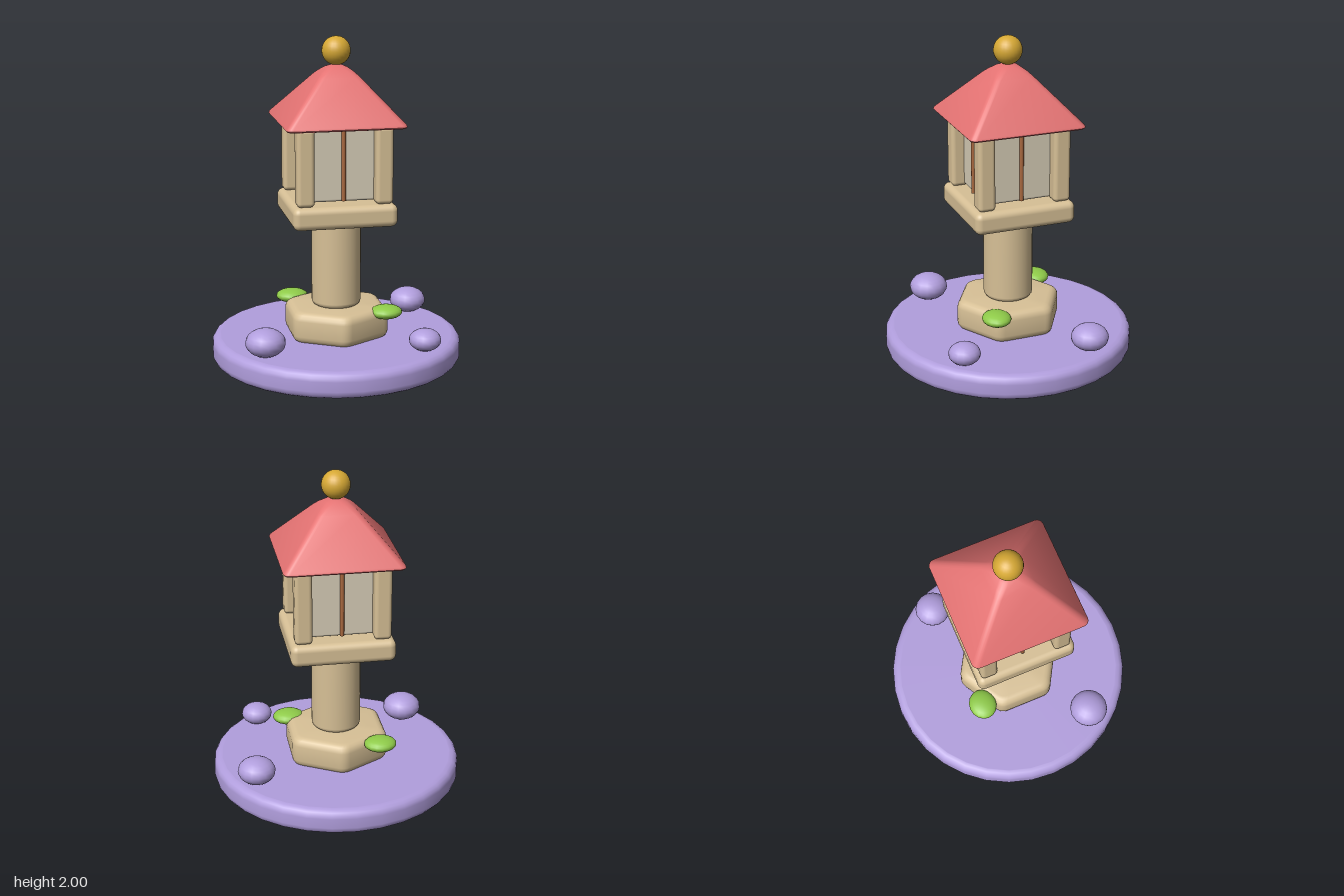
import * as THREE from 'three';
import { toCreasedNormals } from 'three/addons/utils/BufferGeometryUtils.js';
import { RoundedBoxGeometry } from 'three/addons/geometries/RoundedBoxGeometry.js';

const material = (name, color) => {
  const m = new THREE.MeshStandardMaterial({ color });
  m.name = name;
  return m;
};

// Horizontal polygon ring with rounded corners, n sides at distance apothem
function ring(n, apothem, radius, y, turn) {
  const r = Math.min(radius, apothem);
  const half = Math.PI / n, steps = 4, points = [];
  for (let k = 0; k < n; k++) {
    const corner = turn + k * 2 * half;
    const d = (apothem - r) / Math.cos(half);
    for (let i = 0; i <= steps; i++) {
      const a = corner + (i / steps * 2 - 1) * half;
      points.push([Math.sin(corner) * d + Math.sin(a) * r, y, Math.cos(corner) * d + Math.cos(a) * r]);
    }
  }
  return points;
}

// Closed solid through rings stacked from bottom to top
function loft(rings, crease = 0.6) {
  const n = rings[0].length, last = (rings.length - 1) * n;
  const positions = rings.flat(2), index = [];
  const bottom = rings.length * n, top = bottom + 1;
  positions.push(0, rings[0][0][1], 0, 0, rings[rings.length - 1][0][1], 0);
  for (let j = 0; j < n; j++) {
    const k = (j + 1) % n;
    for (let i = 0; i < last; i += n) {
      index.push(i + j, i + k, i + n + k, i + j, i + n + k, i + n + j);
    }
    index.push(bottom, k, j, top, last + j, last + k);
  }
  const geometry = new THREE.BufferGeometry();
  geometry.setAttribute('position', new THREE.Float32BufferAttribute(positions, 3));
  geometry.setIndex(index);
  return toCreasedNormals(geometry, crease);
}

// Half profile [radius, y] of a drum with rounded rims
function drumProfile(radius, y0, y1, bevel) {
  const profile = [], steps = 4;
  for (let i = 0; i <= steps; i++) {
    const a = i / steps * Math.PI / 2;
    profile.push([radius - bevel + Math.sin(a) * bevel, y0 + bevel - Math.cos(a) * bevel]);
  }
  const upper = profile.map(([r, y]) => [r, y0 + y1 - y]).reverse();
  return [...profile, ...upper];
}

function roundDrum(radius, y0, y1, bevel, segments) {
  const profile = drumProfile(radius, y0, y1, bevel);
  const inner = radius - bevel - 0.004;
  const points = [[0, y0], [inner, y0], ...profile, [inner, y1], [0, y1]];
  return new THREE.LatheGeometry(points.map(([r, y]) => new THREE.Vector2(r, y)), segments);
}

export function createModel() {
  const model = new THREE.Group();
  model.name = 'gardenLantern';

  const lavender = material('lavender ground', 0xb19edd);
  const stone = material('warm stone', 0xd7c096);
  const paper = material('pale paper', 0xd7cdb7);
  const wood = material('brown wood', 0xa8683f);
  const red = material('red roof', 0xe57373);
  const gold = material('gold', 0xd6a834);
  const green = material('moss green', 0x8fcb49);

  const add = (name, geometry, mat, x = 0, y = 0, z = 0) => {
    const mesh = new THREE.Mesh(geometry, mat);
    mesh.name = name;
    mesh.position.set(x, y, z);
    model.add(mesh);
    return mesh;
  };

  // Ground disc, hexagonal plinth and column
  add('groundDisc', roundDrum(0.77, 0, 0.16, 0.05, 32), lavender);
  const plinth = drumProfile(0.296, 0.15, 0.347, 0.05);
  add('plinth', loft(plinth.map(([r, y]) => ring(6, r, 0.07, y, 0))), stone);
  add('column', roundDrum(0.152, 0.345, 0.89, 0.03, 32), stone);

  // Platform and lantern box
  add('platform', new RoundedBoxGeometry(0.632, 0.137, 0.632, 4, 0.04), stone, 0, 0.958, 0);
  add('paperBox', new RoundedBoxGeometry(0.43, 0.45, 0.43, 3, 0.015), paper, 0, 1.265, 0);
  for (const sx of [-1, 1]) {
    for (const sz of [-1, 1]) {
      add('cornerPost', new RoundedBoxGeometry(0.106, 0.466, 0.106, 4, 0.025), stone, sx * 0.237, 1.26, sz * 0.237);
    }
  }
  for (let i = 0; i < 4; i++) {
    const a = i * Math.PI / 2;
    add('windowBar', new THREE.CylinderGeometry(0.013, 0.013, 0.445, 12), wood,
      Math.sin(a) * 0.222, 1.268, Math.cos(a) * 0.222);
  }

  // Pyramid roof with softened eaves and tip: [half width, y, corner radius]
  const roof = [
    [0.335, 1.484, 0.03], [0.352, 1.488, 0.035], [0.36, 1.497, 0.04], [0.355, 1.509, 0.035],
    [0.125, 1.765, 0.035], [0.1, 1.79, 0.04], [0.065, 1.816, 0.04], [0.03, 1.83, 0.03], [0.004, 1.833, 0.004],
  ];
  add('roof', loft(roof.map(([w, y, r]) => ring(4, w, r, y, Math.PI / 4))), red);
  add('finialBall', new THREE.SphereGeometry(0.087, 24, 16), gold, 0, 1.913, 0);

  // Boulders on the disc: [x, y, z, radius, half height]
  const boulders = [
    [-0.5, 0.242, 0.36, 0.121, 0.085],
    [0.54, 0.235, -0.32, 0.115, 0.08],
    [0.45, 0.224, 0.45, 0.097, 0.067],
  ];
  for (const [x, y, z, r, h] of boulders) {
    add('boulder', new THREE.SphereGeometry(1, 16, 12), lavender, x, y, z).scale.set(r, h, r);
  }

  // Moss pads on the plinth
  for (const [x, z] of [[0.275, 0.18], [-0.23, -0.275]]) {
    add('mossPad', new THREE.SphereGeometry(1, 16, 12), green, x, 0.325, z).scale.set(0.1, 0.042, 0.088);
  }

  return model;
}
